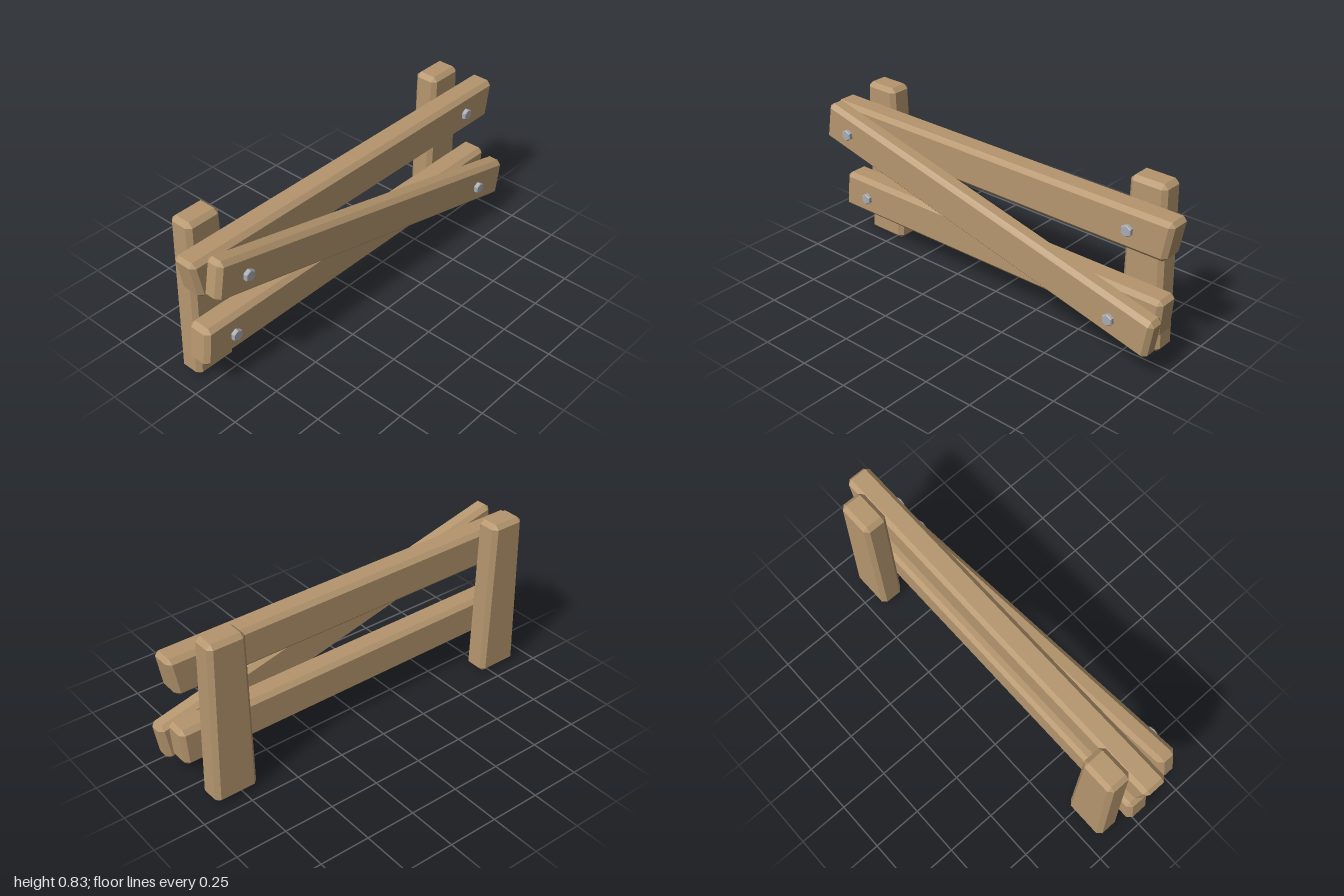
import * as THREE from 'three';
import { ConvexGeometry } from 'three/addons/geometries/ConvexGeometry.js';

const wood = new THREE.MeshStandardMaterial({ color: 0xb5966e, flatShading: true });
const steel = new THREE.MeshStandardMaterial({ color: 0xa8acb2, flatShading: true });
const CHAMFER = 0.021;

// Chamfered timber: ends run from [bottom x, top x] on each side
function timber(name, left, right, y0, y1, z0, z1) {
  const c = CHAMFER, points = [];
  const insets = [[0, c, c], [c, 0, c], [c, c, 0]];
  for (const sx of [-1, 1]) for (const sy of [-1, 1]) for (const sz of [-1, 1]) {
    for (const [ix, iy, iz] of insets) {
      const y = sy < 0 ? y0 + iy : y1 - iy;
      const z = sz < 0 ? z0 + iz : z1 - iz;
      const end = sx < 0 ? left : right;
      const x = THREE.MathUtils.lerp(end[0], end[1], (y - y0) / (y1 - y0)) - sx * ix;
      points.push(new THREE.Vector3(x, y, z));
    }
  }
  const mesh = new THREE.Mesh(new ConvexGeometry(points), wood);
  mesh.name = name;
  return mesh;
}

// Six-sided bolt head with a small bevel, facing +z
function bolt(name, x, y, z) {
  const profile = [[0, 0], [0.025, 0], [0.029, 0.004], [0.029, 0.019], [0.025, 0.023], [0, 0.023]]
    .map(([r, h]) => new THREE.Vector2(r, h));
  const geometry = new THREE.LatheGeometry(profile, 6).rotateX(Math.PI / 2);
  const mesh = new THREE.Mesh(geometry, steel);
  mesh.name = name;
  mesh.position.set(x, y, z);
  return mesh;
}

export function createModel() {
  const fence = new THREE.Group();
  fence.name = 'fence';

  // Posts, slightly narrower at the top
  fence.add(
    timber('rightPost', [-0.92, -0.90], [-0.70, -0.72], 0, 0.83, -0.185, -0.062),
    timber('leftPost', [0.67, 0.685], [0.89, 0.872], 0, 0.83, -0.185, -0.062)
  );

  // Horizontal rails with uneven sawn ends
  fence.add(
    timber('upperRail', [-0.965, -1.003], [0.965, 1.0], 0.55, 0.745, -0.062, 0.062),
    timber('lowerRail', [-0.975, -0.952], [0.955, 0.97], 0.167, 0.36, -0.062, 0.062)
  );

  // Diagonal brace across the front
  const brace = timber('diagonalBrace', [-0.99, -1.003], [1.003, 0.99], -0.097, 0.097, 0.072, 0.165);
  brace.position.set(0.013, 0.449, 0);
  brace.rotation.z = -0.2377;
  fence.add(brace);

  // Bolt heads on the brace and on the rails
  fence.add(
    bolt('braceBoltUpper', -0.80, 0.65, 0.165),
    bolt('braceBoltLower', 0.78, 0.26, 0.165),
    bolt('upperRailBolt', 0.78, 0.65, 0.06),
    bolt('lowerRailBolt', -0.80, 0.26, 0.06)
  );
  return fence;
}
